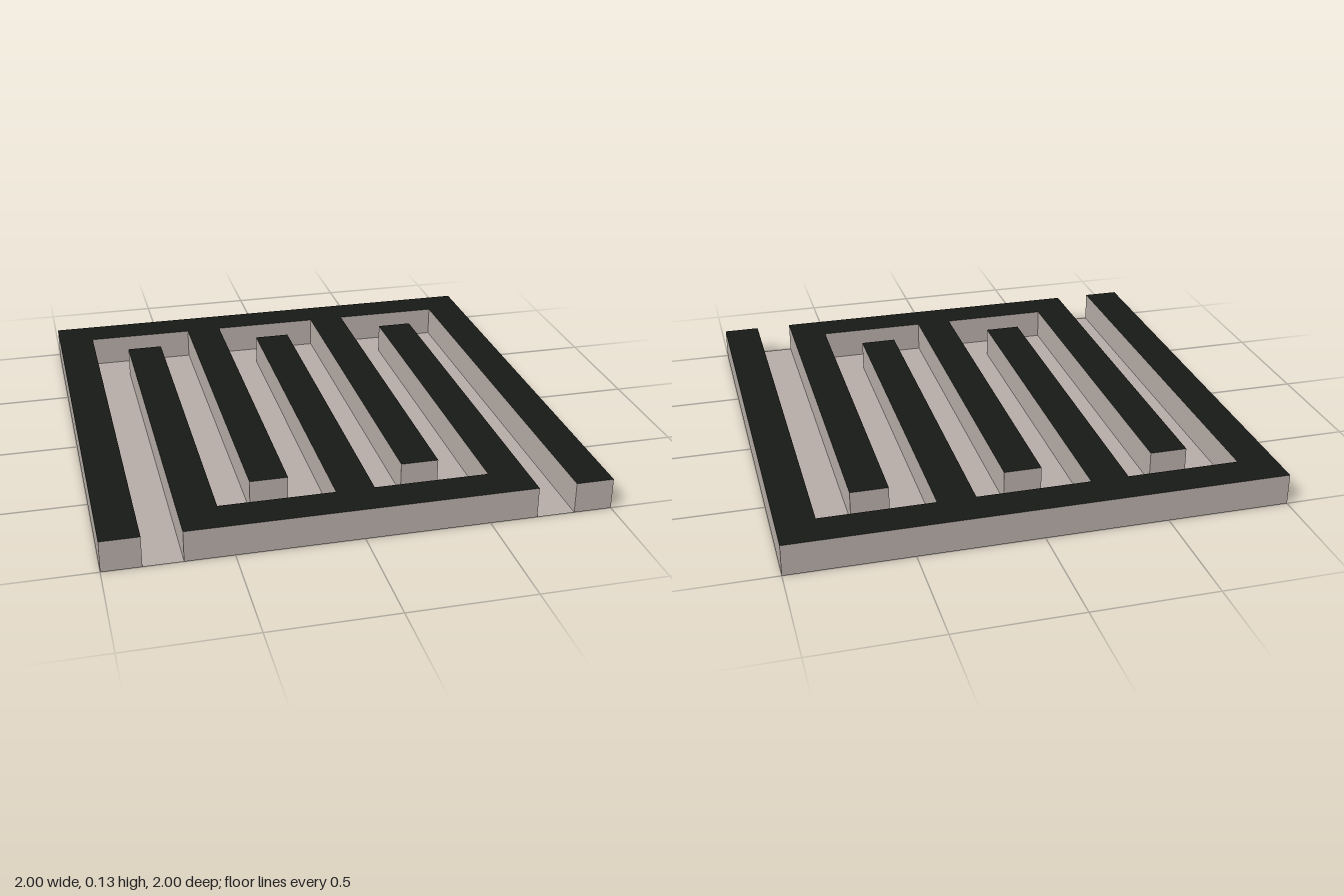
import * as THREE from 'three';

const CELLS = 13, U = 2 / CELLS, HEIGHT = 0.128;
const toPlan = ([i, j]) => [i * U - 1, j * U - 1]; // cell grid -> x, z

const wallMaterial = new THREE.MeshStandardMaterial({ color: 0xb8aea8, side: THREE.DoubleSide });
const topMaterial = new THREE.MeshStandardMaterial({ color: 0x171916, side: THREE.DoubleSide });

// Flat horizontal face filling an outline at height y
function flatFace(name, outline, y, material) {
  const shape = new THREE.Shape(outline.map(toPlan).map(([x, z]) => new THREE.Vector2(x, -z)));
  const geometry = new THREE.ShapeGeometry(shape).rotateX(-Math.PI / 2).translate(0, y, 0);
  const mesh = new THREE.Mesh(geometry, material);
  mesh.name = name;
  return mesh;
}

// Upright walls along every edge of a closed outline
function walls(name, outline) {
  const positions = [];
  const points = outline.map(toPlan);
  points.forEach(([ax, az], k) => {
    const [bx, bz] = points[(k + 1) % points.length];
    positions.push(ax, 0, az, ax, HEIGHT, az, bx, HEIGHT, bz);
    positions.push(ax, 0, az, bx, HEIGHT, bz, bx, 0, bz);
  });
  const geometry = new THREE.BufferGeometry();
  geometry.setAttribute('position', new THREE.Float32BufferAttribute(positions, 3));
  geometry.computeVertexNormals();
  const mesh = new THREE.Mesh(geometry, wallMaterial);
  mesh.name = name;
  return mesh;
}

// Hollow raised ridge, open underneath
function ridge(name, outline) {
  const group = new THREE.Group();
  group.name = name;
  group.add(walls(name + 'Walls', outline), flatFace(name + 'Top', outline, HEIGHT, topMaterial));
  return group;
}

export function createModel() {
  const model = new THREE.Group();
  model.name = 'serpentineChannelPlate';

  // Channel side of the back frame: two side arms with two fingers between
  const backEdge = [[12, 13], [12, 1]];
  for (const i of [8, 4]) backEdge.push([i + 1, 1], [i + 1, 11], [i, 11], [i, 1]);
  backEdge.push([1, 1], [1, 13]);

  // Channel side of the front comb: three fingers
  const frontEdge = [[2, 13], [2, 2], [3, 2], [3, 12], [6, 12], [6, 2], [7, 2], [7, 12],
    [10, 12], [10, 2], [11, 2], [11, 13]];

  model.add(
    ridge('backFrame', [[0, 0], [13, 0], [13, 13], ...backEdge, [0, 13]]),
    ridge('frontComb', frontEdge),
    // Winding floor between the two ridges
    flatFace('channelFloor', [...backEdge, ...frontEdge], 0, wallMaterial)
  );
  return model;
}
